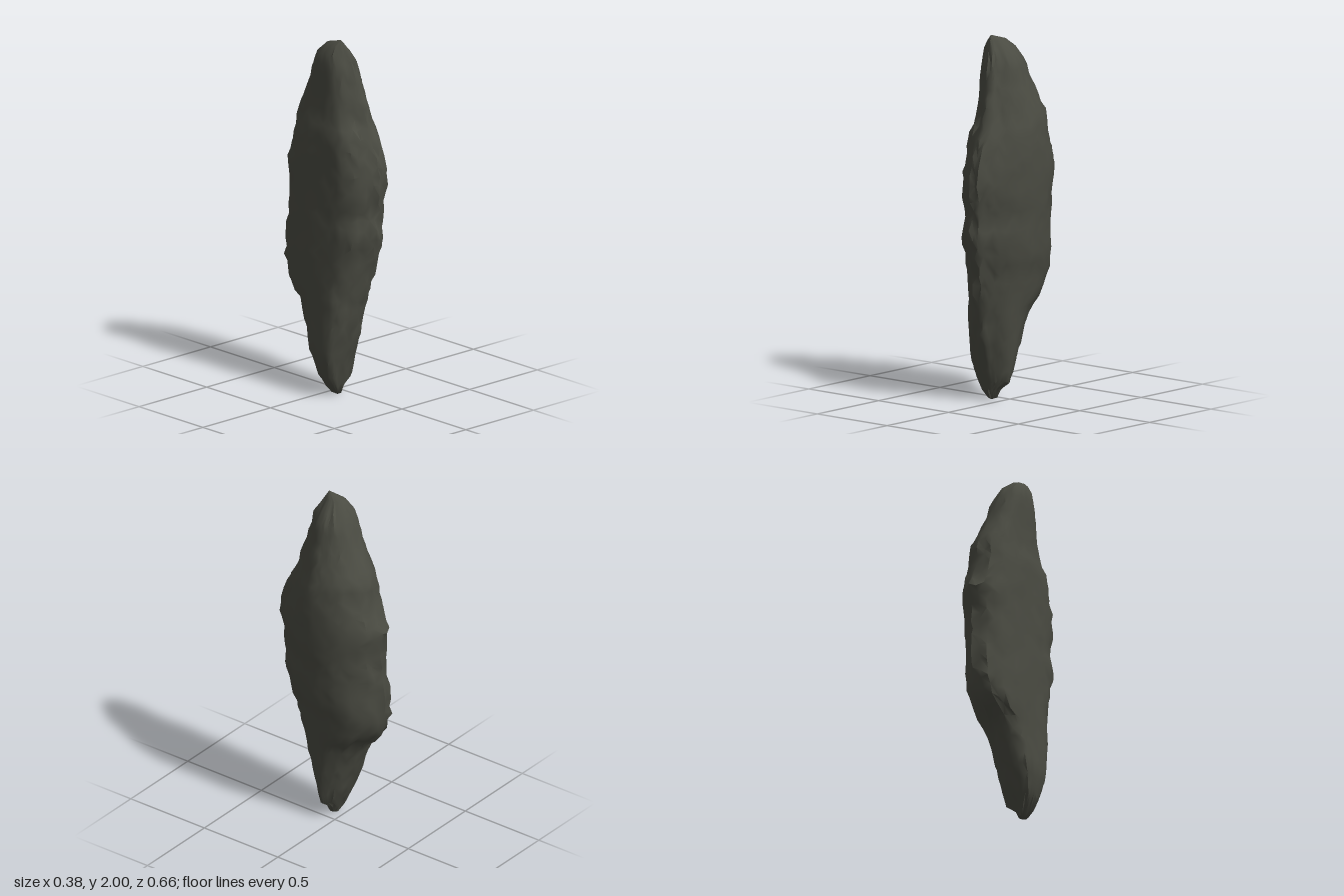
import * as THREE from 'three';
import { toCreasedNormals } from 'three/addons/utils/BufferGeometryUtils.js';

// Outline by height: [y, xMin, xMax, zMin, zMax]
const OUTLINE = [
  [0.01, -0.09, -0.045, 0.03, 0.09],
  [0.06, -0.125, -0.025, 0.01, 0.11],
  [0.11, -0.16, 0.04, -0.015, 0.125],
  [0.24, -0.19, 0.065, -0.07, 0.16],
  [0.36, -0.187, 0.08, -0.115, 0.20],
  [0.50, -0.18, 0.10, -0.17, 0.225],
  [0.60, -0.178, 0.12, -0.28, 0.25],
  [0.70, -0.176, 0.135, -0.315, 0.27],
  [0.80, -0.174, 0.16, -0.315, 0.29],
  [0.93, -0.17, 0.168, -0.315, 0.33],
  [1.02, -0.166, 0.172, -0.305, 0.305],
  [1.14, -0.163, 0.183, -0.305, 0.325],
  [1.27, -0.16, 0.187, -0.327, 0.33],
  [1.38, -0.157, 0.186, -0.28, 0.295],
  [1.48, -0.155, 0.178, -0.25, 0.265],
  [1.54, -0.14, 0.17, -0.255, 0.225],
  [1.68, -0.133, 0.13, -0.18, 0.19],
  [1.78, -0.13, 0.10, -0.135, 0.165],
  [1.86, -0.13, 0.085, -0.105, 0.145],
  [1.92, -0.12, 0.04, -0.075, 0.12],
  [1.97, -0.095, -0.015, -0.02, 0.10],
];

// Cross-section as [x, z] in half-widths: flat on -x, bevelled on +x
const SECTION = [
  [1, 0.12], [0.84, 0.46], [0.64, 0.66], [0.42, 0.84], [0.24, 1], [-0.08, 0.99],
  [-0.42, 0.87], [-0.75, 0.76], [-0.94, 0.58], [-1, 0.32], [-1, 0], [-0.98, -0.36],
  [-0.9, -0.7], [-0.6, -0.92], [-0.1, -1], [0.34, -0.89], [0.74, -0.64], [0.92, -0.38], [0.99, -0.1],
];
const RINGS = 40, SIDES = SECTION.length * 2;

function outlineAt(y) {
  let k = 0;
  while (k < OUTLINE.length - 2 && OUTLINE[k + 1][0] < y) k++;
  const a = OUTLINE[k], b = OUTLINE[k + 1];
  const t = (y - a[0]) / (b[0] - a[0]);
  return a.map((v, n) => v + (b[n] - v) * t);
}

// Section corners and the midpoints between them
function sectionAt(j) {
  const p = SECTION[j >> 1], q = SECTION[((j + 1) >> 1) % SECTION.length];
  return [(p[0] + q[0]) / 2, (p[1] + q[1]) / 2];
}

function makeRandom(seed) {
  return () => {
    seed = (seed * 16807) % 2147483647;
    return seed / 2147483647;
  };
}

// Tall ridges and hollows, about -1 to 1
function ridges(a, y) {
  return 0.5 * Math.sin(3 * a + 2.1 * y + 0.8 * Math.sin(3 * y))
    + 0.3 * Math.sin(5 * a - 4.3 * y + 1.2)
    + 0.2 * Math.sin(8 * a + 9 * y);
}

function rockGeometry() {
  const random = makeRandom(4721);
  const pos = [], index = [];

  for (let i = 0; i < RINGS; i++) {
    const y = 0.01 + 1.96 * i / (RINGS - 1);
    const [, x0, x1, z0, z1] = outlineAt(y);
    for (let j = 0; j < SIDES; j++) {
      const [c, s] = sectionAt(j);
      // Chipped edges front and back, smoother broad faces
      const chip = (random() - 0.5) * (0.03 + 0.05 * s * s);
      const r = 0.985 + 0.03 * ridges(Math.atan2(s, c), y) + chip;
      const lift = i > 0 && i < RINGS - 1 ? (random() - 0.5) * 0.025 : 0;
      pos.push((x0 + x1) / 2 + (x1 - x0) / 2 * c * r, y + lift, (z0 + z1) / 2 + (z1 - z0) / 2 * s * r);
    }
  }
  // Pointed ends
  const bottom = RINGS * SIDES, top = bottom + 1, last = (RINGS - 1) * SIDES;
  pos.push(-0.07, 0, 0.07, -0.06, 2, 0.085);

  for (let j = 0; j < SIDES; j++) {
    const k = (j + 1) % SIDES;
    for (let i = 0; i < RINGS - 1; i++) {
      const a = i * SIDES + j, b = i * SIDES + k, c = a + SIDES, d = b + SIDES;
      // Mixed diagonals break up the regular grid
      if (random() < 0.5) index.push(a, c, b, b, c, d);
      else index.push(a, c, d, a, d, b);
    }
    index.push(bottom, j, k, top, last + k, last + j);
  }

  const geometry = new THREE.BufferGeometry();
  geometry.setAttribute('position', new THREE.Float32BufferAttribute(pos, 3));
  geometry.setIndex(index);
  return toCreasedNormals(geometry, THREE.MathUtils.degToRad(50));
}

export function createModel() {
  const stone = new THREE.MeshStandardMaterial({ color: 0x4a4b42 });
  stone.name = 'dark stone';

  const rock = new THREE.Mesh(rockGeometry(), stone);
  rock.name = 'standing rock';

  const group = new THREE.Group();
  group.name = 'rock';
  group.add(rock);
  return group;
}
